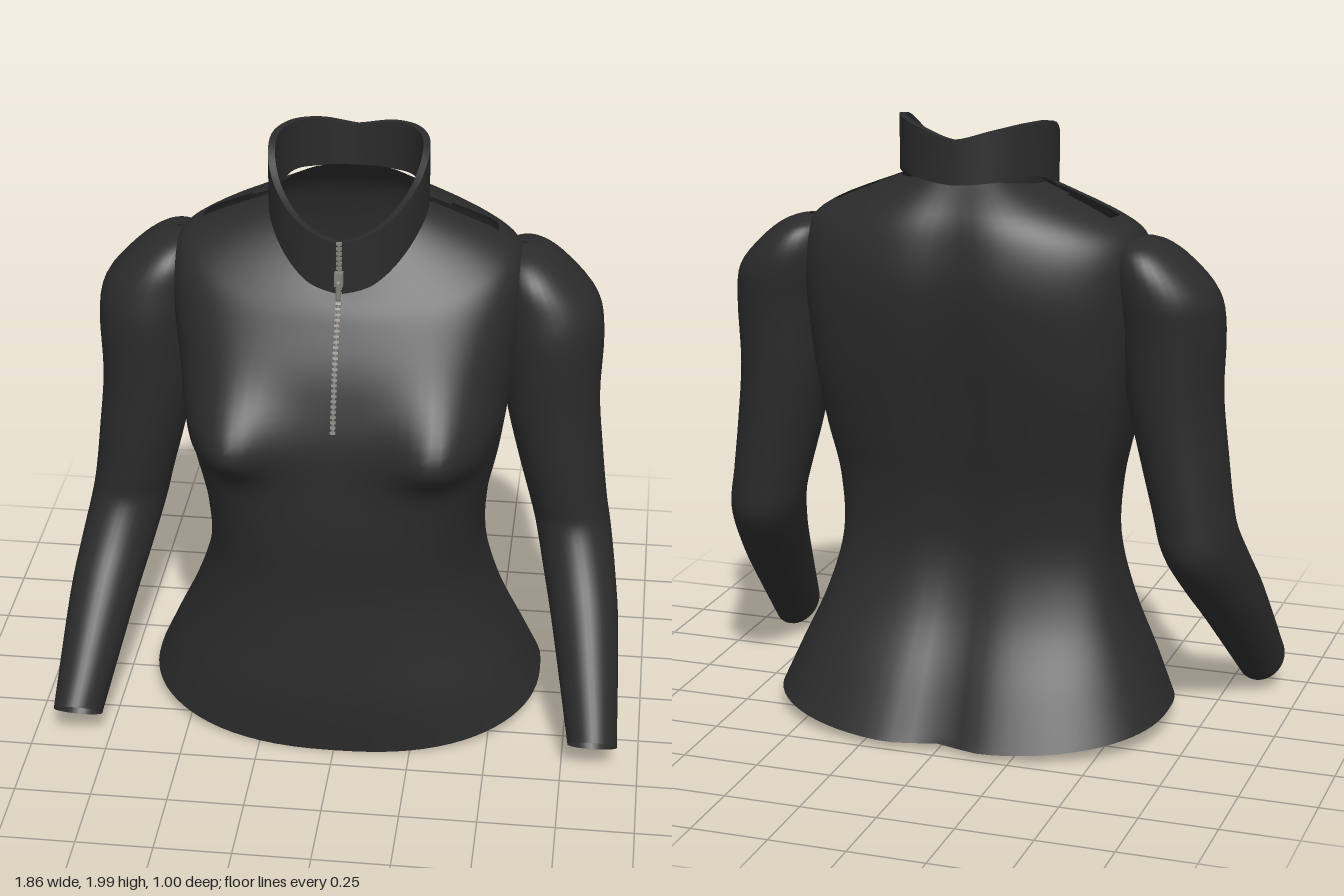
import * as THREE from 'three';
import { toCreasedNormals } from 'three/addons/utils/BufferGeometryUtils.js';

const TAU = Math.PI * 2;

// Smoothly subdivide rows of numbers (Catmull-Rom), n steps per span.
function refine(keys, n) {
  const rows = [];
  const at = (i) => keys[Math.min(keys.length - 1, Math.max(0, i))];
  for (let i = 0; i < keys.length - 1; i++) {
    for (let k = 0; k < n; k++) {
      const t = k / n;
      rows.push(keys[i].map((b, c) => {
        const a = at(i - 1)[c], d = at(i + 1)[c], e = at(i + 2)[c];
        return b + 0.5 * t * (d - a + t * (2 * a - 5 * b + 4 * d - e + t * (3 * (b - d) + e - a)));
      }));
    }
  }
  rows.push(keys[keys.length - 1]);
  return rows;
}

// Skin closed rings of points, ordered bottom to top; skip(row, column) leaves openings.
function loft(rings, skip = () => false) {
  const n = rings[0].length, index = [];
  for (let i = 0; i < rings.length - 1; i++) {
    for (let j = 0; j < n; j++) {
      if (skip(i, j)) continue;
      const a = i * n + j, b = i * n + (j + 1) % n;
      index.push(a, a + n, b, b, a + n, b + n);
    }
  }
  const g = new THREE.BufferGeometry();
  g.setAttribute('position', new THREE.Float32BufferAttribute(rings.flat(2), 3));
  g.setIndex(index);
  g.computeVertexNormals();
  return g;
}

const ring = (n, f) => Array.from({ length: n }, (_, j) => f((j / n) * TAU));
const spow = (v, e) => Math.sign(v) * Math.pow(Math.abs(v), e);
const gauss = (d, s) => Math.exp(-(d * d) / (s * s));

// Body: half width, front z, back z, front y, side y, back y, roundness
const BODY = [
  [0.655, 0.42, -0.50, 0.01, 0.075, 0.03, 0.82],
  [0.60, 0.43, -0.41, 0.2, 0.2, 0.2, 0.82],
  [0.51, 0.42, -0.295, 0.4, 0.4, 0.4, 0.8],
  [0.455, 0.415, -0.24, 0.6, 0.6, 0.6, 0.78],
  [0.46, 0.43, -0.25, 0.8, 0.8, 0.8, 0.75],
  [0.495, 0.43, -0.29, 0.98, 0.98, 0.98, 0.7],
  [0.52, 0.42, -0.33, 1.15, 1.15, 1.15, 0.66],
  [0.54, 0.385, -0.365, 1.3, 1.3, 1.3, 0.72],
  [0.56, 0.35, -0.39, 1.4, 1.48, 1.48, 0.8],
  [0.555, 0.30, -0.38, 1.5, 1.63, 1.62, 0.9],
  [0.47, 0.265, -0.345, 1.56, 1.71, 1.73, 1],
  [0.24, 0.222, -0.26, 1.61, 1.805, 1.83, 1],
];

function bodyGeometry() {
  const seg = 80, steps = 5, zc = -0.05;
  const rings = refine(BODY, steps).map(([w, zf, zb, yf, ys, yb, e]) => ring(seg, (a) => {
    const s = Math.sin(a), front = s > 0;
    const x = w * spow(Math.cos(a), e);
    const y = ys + ((front ? yf : yb) - ys) * s * s;
    let z = zc + spow(s, e) * (front ? zf - zc : zc - zb);
    if (front) { // bust
      const dy = y - 1.13;
      z += 0.125 * Math.min(1, s * 2) * gauss(Math.abs(x) - 0.35, 0.15) * gauss(dy, dy < 0 ? 0.1 : 0.19);
    } else { // spine groove
      z += (0.025 + 0.025 * gauss(y, 0.35)) * s * s * gauss(x, 0.1);
    }
    return [x, y, z];
  }));
  // open slit along each shoulder seam, narrower beside the neck
  const first = (BODY.length - 2) * steps;
  return loft(rings, (i, j) => {
    const wide = i < first + 3 ? 3 : 2;
    return i >= first && (j >= seg - wide || (j >= seg / 2 && j < seg / 2 + wide));
  });
}

// Sleeve: centre x, y, z, radius across, radius along, tilt
const SLEEVE = [
  [0.55, 1.655, -0.09, 0.01, 0.01, 0],
  [0.56, 1.635, -0.09, 0.075, 0.11, 0],
  [0.59, 1.575, -0.08, 0.125, 0.165, 0],
  [0.63, 1.48, -0.07, 0.165, 0.185, 0],
  [0.648, 1.36, -0.055, 0.167, 0.185, 0],
  [0.658, 1.15, -0.05, 0.153, 0.173, 0],
  [0.69, 0.95, -0.045, 0.14, 0.163, 0.05],
  [0.722, 0.78, -0.045, 0.128, 0.158, 0.18],
  [0.745, 0.67, -0.035, 0.124, 0.157, 0.38],
  [0.775, 0.54, 0.06, 0.118, 0.135, 0.62],
  [0.805, 0.40, 0.185, 0.108, 0.12, 0.7],
  [0.85, 0.113, 0.44, 0.08, 0.095, 0.73],
];

function sleeveGeometry(side) {
  const rings = refine(SLEEVE, 4).reverse().map(([x, y, z, rx, rz, tilt]) => ring(36, (a) => {
    const d = rz * Math.sin(a);
    return [side * x + rx * Math.cos(a), y + d * Math.sin(tilt), z + d * Math.cos(tilt)];
  }));
  return loft(rings);
}

// Collar edge heights from centre back round to centre front
const COLLAR_TOP = refine([1.955, 1.985, 2.0, 1.985, 1.9, 1.815, 1.77].map((v) => [v]), 6);
const COLLAR_BASE = refine([1.815, 1.825, 1.835, 1.79, 1.71, 1.635, 1.6].map((v) => [v]), 6);

function collarGeometry() {
  const seg = 72;
  const edge = (inset, heights) => Array.from({ length: seg }, (_, j) => {
    const a = (j / seg) * TAU;
    // angle runs from +x toward +z; the heights run from back to front
    const k = Math.round((Math.acos(-Math.sin(a)) / Math.PI) * 36);
    return [(0.252 - inset) * Math.cos(a), heights[k][0], -0.025 + (0.258 - inset) * Math.sin(a)];
  });
  const outer = [edge(0, COLLAR_BASE), edge(0, COLLAR_TOP)];
  const inner = [edge(0.022, COLLAR_TOP), edge(0.022, COLLAR_BASE)];
  return toCreasedNormals(loft([...outer, ...inner, outer[0]]), 0.8);
}

export function createModel() {
  const model = new THREE.Group();
  const fabric = new THREE.MeshStandardMaterial({ color: 0x2b2b2b, side: THREE.DoubleSide });
  fabric.name = 'charcoal fabric';
  const metal = new THREE.MeshStandardMaterial({ color: 0x85827c });
  metal.name = 'zip metal';

  const add = (name, geometry, material, parent = model) => {
    const mesh = new THREE.Mesh(geometry, material);
    mesh.name = name;
    parent.add(mesh);
    return mesh;
  };

  add('body', bodyGeometry(), fabric);
  add('leftSleeve', sleeveGeometry(1), fabric);
  add('rightSleeve', sleeveGeometry(-1), fabric);
  add('collar', collarGeometry(), fabric);

  // Front zip: a thin cord with teeth, a slider and a pull
  const zip = new THREE.Group();
  zip.name = 'zip';
  model.add(zip);
  const path = new THREE.CatmullRomCurve3([
    [1.775, 0.242], [1.61, 0.243], [1.56, 0.273], [1.5, 0.305], [1.4, 0.356], [1.3, 0.39], [1.21, 0.415],
  ].map(([y, z]) => new THREE.Vector3(0, y, z)));
  add('zipCord', new THREE.TubeGeometry(path, 40, 0.005, 6), metal, zip);
  const tooth = new THREE.BoxGeometry(0.017, 0.008, 0.01);
  for (let i = 0; i <= 36; i++) {
    const t = i / 36;
    const mesh = add('zipTooth', tooth, metal, zip);
    mesh.position.copy(path.getPointAt(t));
    mesh.lookAt(mesh.position.clone().add(path.getTangentAt(t)));
    mesh.rotateX(Math.PI / 2);
  }
  add('zipSlider', new THREE.BoxGeometry(0.026, 0.045, 0.02), metal, zip).position.set(0, 1.66, 0.25);
  const pull = add('zipPull', new THREE.CapsuleGeometry(0.009, 0.05, 4, 8), metal, zip);
  pull.position.set(0, 1.625, 0.262);

  return model;
}
